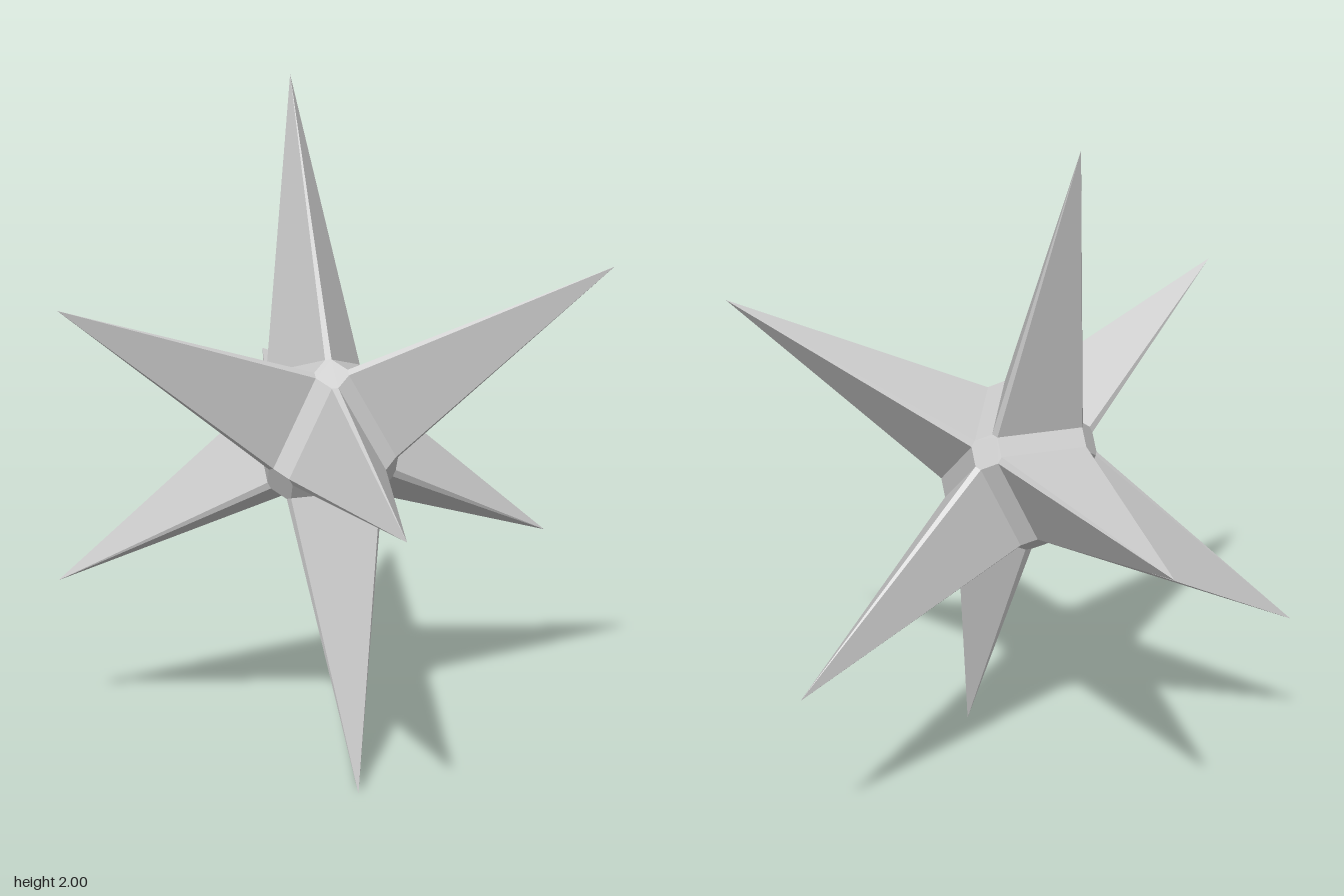
import * as THREE from 'three';

// Skewed axes: the eight spike tips lie at +-e0 +-e1 +-e2
const AXES = [
  new THREE.Vector3(0.495, 0.275, -0.055),
  new THREE.Vector3(-0.145, 0.245, -0.49),
  new THREE.Vector3(-0.185, 0.48, 0.25),
];
const CORE = 0.41;      // core corner distance along each axis
const RIDGE = 0.06;     // bevel inset along the valleys
const VALLEY = 0.05;    // bevel inset toward the tips
const SIGNS = [1, -1];

const material = new THREE.MeshStandardMaterial({ color: 0xcccccc, flatShading: true });

const tip = (s) => AXES.reduce((v, a, i) => v.addScaledVector(a, s[i]), new THREE.Vector3());
const core = (i, s) => AXES[i].clone().multiplyScalar(CORE * s[i]);

// Bevelled corner near core corner i, on the spike face spanning corners i and j
function corner(s, i, j) {
  const p = core(i, s);
  return p.clone()
    .addScaledVector(core(j, s).sub(p), RIDGE)
    .addScaledVector(tip(s).sub(p), VALLEY);
}

// Add a convex polygon as a fan, turned to face away from the centre
function addPolygon(out, pts) {
  for (let k = 1; k < pts.length - 1; k++) {
    let [a, b, c] = [pts[0], pts[k], pts[k + 1]];
    const n = b.clone().sub(a).cross(c.clone().sub(a));
    if (n.dot(a.clone().add(b).add(c)) < 0) [b, c] = [c, b];
    for (const v of [a, b, c]) out.push(v.x, v.y, v.z);
  }
}

function makeMesh(name, coords) {
  const geometry = new THREE.BufferGeometry();
  geometry.setAttribute('position', new THREE.Float32BufferAttribute(coords, 3));
  geometry.computeVertexNormals();
  const mesh = new THREE.Mesh(geometry, material);
  mesh.name = name;
  return mesh;
}

export function createModel() {
  const star = new THREE.Group();
  star.name = 'spikedStar';

  // Spikes: three sides and three tapering ridge bevels each
  for (const x of SIGNS) for (const y of SIGNS) for (const z of SIGNS) {
    const s = [x, y, z], t = tip(s), coords = [];
    for (let i = 0; i < 3; i++) {
      const j = (i + 1) % 3, k = (i + 2) % 3;
      addPolygon(coords, [t, corner(s, i, j), corner(s, j, i)]);
      addPolygon(coords, [t, corner(s, i, j), corner(s, i, k)]);
    }
    star.add(makeMesh('spike', coords));
  }

  // Valley strips between neighbouring spikes, and hub facets where four spikes meet
  const valleys = [], hubs = [];
  for (let i = 0; i < 3; i++) {
    const j = (i + 1) % 3, k = (i + 2) % 3;
    const signs = (a, b, c) => { const s = []; s[i] = a; s[j] = b; s[k] = c; return s; };
    for (const a of SIGNS) {
      for (const b of SIGNS) {
        const s = signs(a, b, 1), m = signs(a, b, -1);
        addPolygon(valleys, [corner(s, i, j), corner(s, j, i), corner(m, j, i), corner(m, i, j)]);
      }
      const ring = [];
      for (const [b, c] of [[1, 1], [-1, 1], [-1, -1], [1, -1]]) {
        const s = signs(a, b, c);
        const pair = [corner(s, i, j), corner(s, i, k)];
        ring.push(...(b * c > 0 ? pair : pair.reverse()));
      }
      addPolygon(hubs, ring);
    }
  }
  star.add(makeMesh('valleyStrips', valleys), makeMesh('hubFacets', hubs));

  // Stand the lowest tip on the ground
  star.position.y = 1;
  const model = new THREE.Group();
  model.name = 'star';
  model.add(star);
  return model;
}
